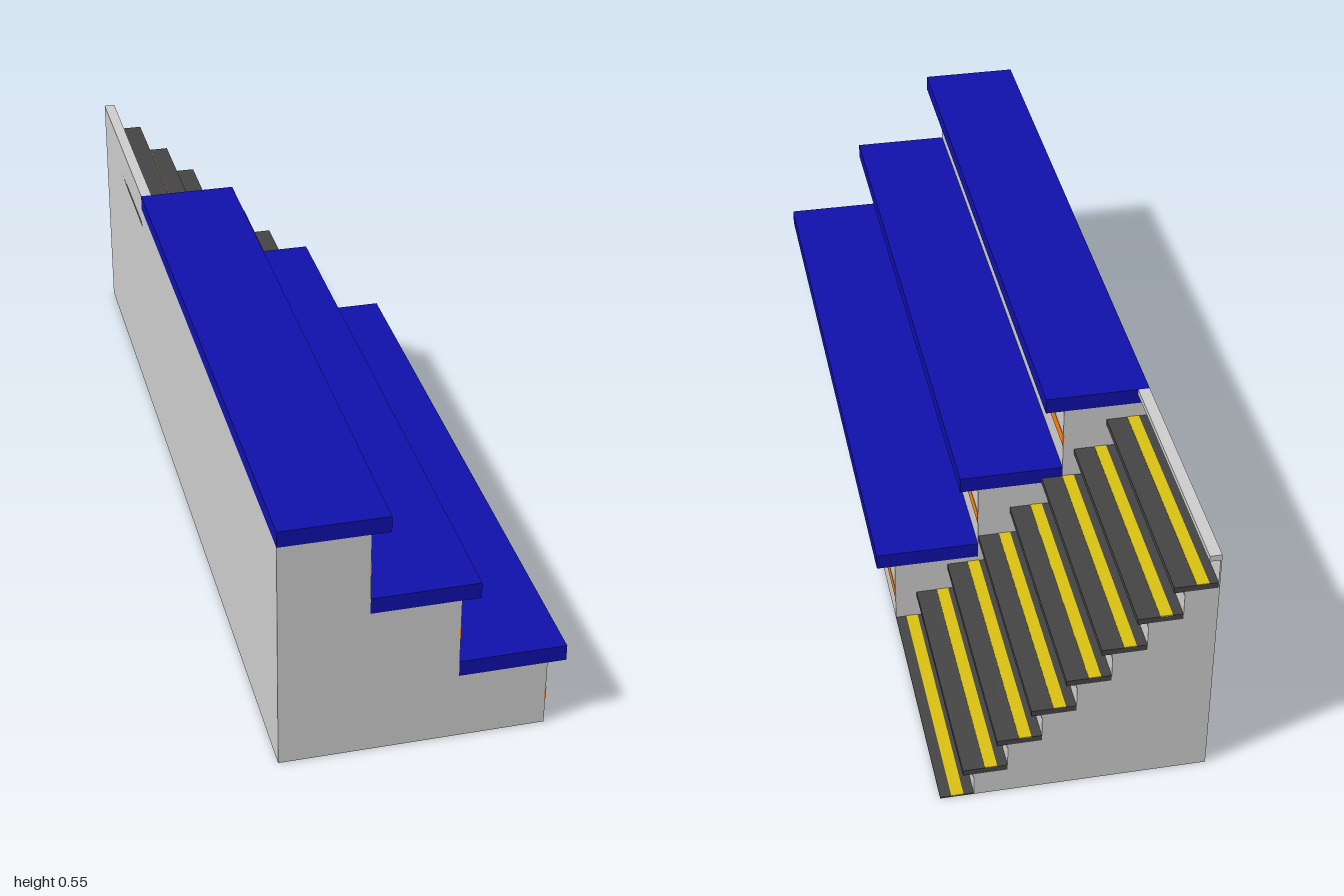
import * as THREE from 'three';

const mat = (color) => new THREE.MeshStandardMaterial({ color });
const grey = mat(0xcccccc), blue = mat(0x1010aa), orange = mat(0xff8010);
const dark = mat(0x444444), yellow = mat(0xd8c010), pale = mat(0xf0f0f0);

const BACK = -0.295, FRONT = 0.254, HEIGHT = 0.55;
const SPLIT = -0.45; // stairs run z -1..SPLIT, seating SPLIT..1

// Box given by its extents
function box(parent, name, material, x0, x1, y0, y1, z0, z1) {
  const mesh = new THREE.Mesh(new THREE.BoxGeometry(x1 - x0, y1 - y0, z1 - z0), material);
  mesh.position.set((x0 + x1) / 2, (y0 + y1) / 2, (z0 + z1) / 2);
  mesh.name = name;
  parent.add(mesh);
}

// Side outline in x/y extruded along z
function prism(parent, name, points, z0, z1) {
  const shape = new THREE.Shape(points.map(([x, y]) => new THREE.Vector2(x, y)));
  const geometry = new THREE.ExtrudeGeometry(shape, { depth: z1 - z0, bevelEnabled: false });
  geometry.translate(0, 0, z0);
  const mesh = new THREE.Mesh(geometry, grey);
  mesh.name = name;
  parent.add(mesh);
}

function createSeating() {
  const group = new THREE.Group();
  group.name = 'seating';
  const run = 0.183, rise = 0.183, slab = 0.035, overhang = 0.039;

  // Stepped base
  const outline = [[BACK, 0], [FRONT, 0]];
  for (let i = 0; i < 3; i++) {
    const top = HEIGHT - (2 - i) * rise - slab;
    outline.push([FRONT - i * run, top], [FRONT - (i + 1) * run, top]);
  }
  prism(group, 'seatingBase', outline, SPLIT, 1);

  // Benches and the stripe on each riser
  for (let i = 0; i < 3; i++) {
    const front = FRONT - i * run, top = HEIGHT - (2 - i) * rise;
    box(group, 'bench', blue, front - run, front + overhang, top - slab, top, SPLIT, 1);
    box(group, 'riserStripe', orange, front - 0.002, front + 0.001,
      top - 0.125, top - 0.097, SPLIT, 1);
  }
  return group;
}

function createStairs() {
  const group = new THREE.Group();
  group.name = 'stairs';
  const count = 8, run = (FRONT - BACK) / count, rise = HEIGHT / count;
  const thick = 0.013, nose = 0.022, wall = 0.003;

  // Sawtooth base with a thin back wall behind the last tread
  const outline = [[BACK, 0], [FRONT, 0], [FRONT, 0.001]];
  for (let k = 0; k < count; k++) {
    const x = FRONT - (k + 1) * run + (k === count - 1 ? wall : 0);
    const y = k ? k * rise - thick : 0.001;
    if (k) outline.push([FRONT - k * run, y]);
    outline.push([x, y]);
  }
  outline.push([BACK + wall, HEIGHT - thick], [BACK, HEIGHT - thick]);
  prism(group, 'stairBase', outline, -1, SPLIT);

  for (let k = 0; k < count; k++) {
    const front = FRONT - k * run, back = front - run, y = k * rise;
    // Tread with nosing, and its marking
    box(group, 'tread', dark, back, front + (k ? nose : 0),
      k ? y - thick : 0.001, k ? y : 0.003, -1, SPLIT);
    const line = back + nose - 0.001, top = k ? y : 0.003;
    box(group, 'treadStripe', yellow, line, line + 0.025, top - 0.001, top + 0.001, -1, SPLIT);
    // Pale strip below each nosing
    if (k) box(group, 'nosingStrip', pale, front - 0.001, front + 0.002,
      y - thick - 0.008, y - thick, -1, SPLIT);
  }

  // Top nosing
  box(group, 'topNosing', grey, BACK, BACK + nose + 0.003, HEIGHT - thick, HEIGHT, -1, SPLIT);
  return group;
}

export function createModel() {
  const model = new THREE.Group();
  model.name = 'bleachers';
  model.add(createSeating(), createStairs());
  return model;
}
